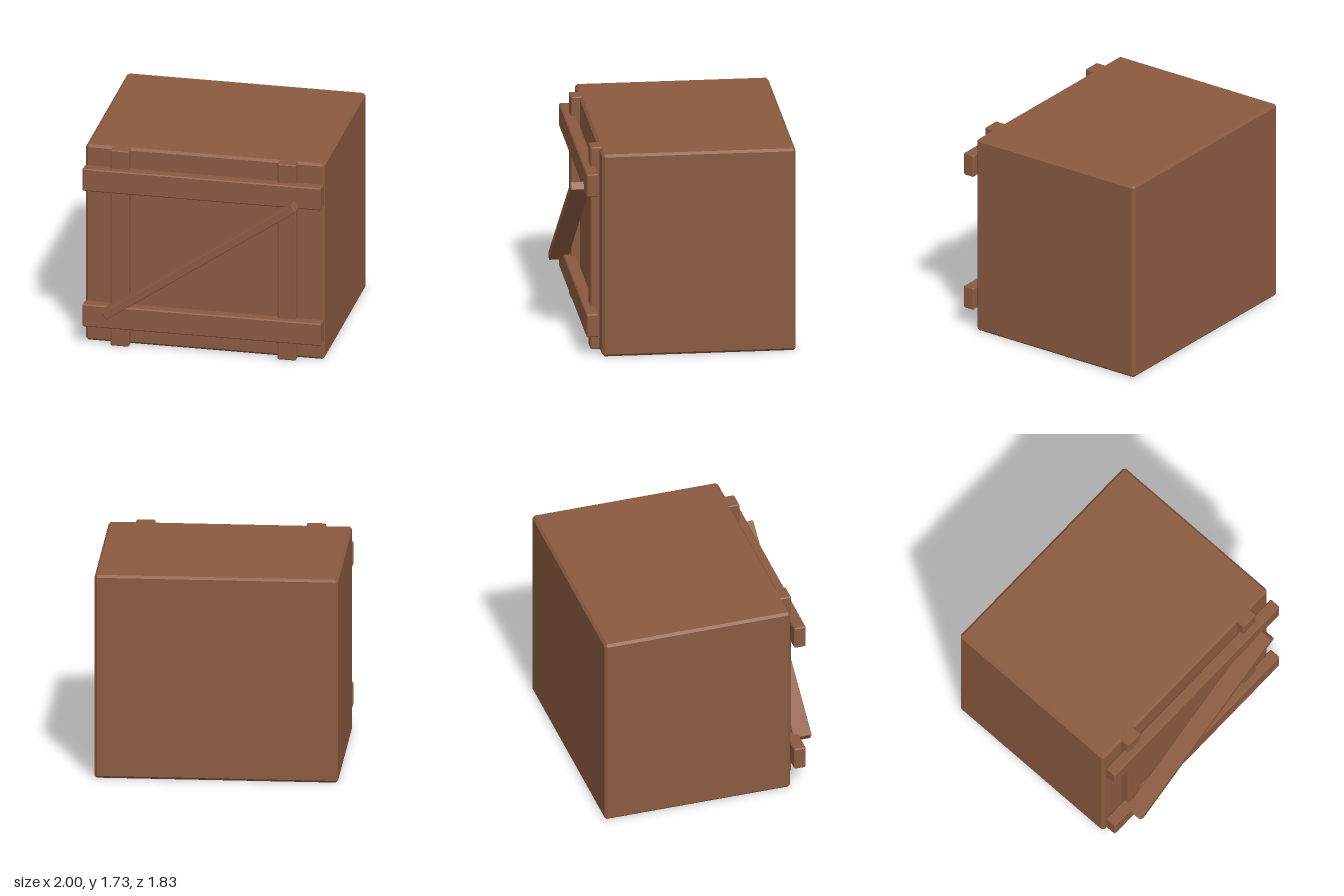
import * as THREE from 'three';
import { ConvexGeometry } from 'three/addons/geometries/ConvexGeometry.js';

// Box with flat bevels on every edge, centred on its origin
function bevelledBox(w, h, d, b) {
  const half = [w / 2, h / 2, d / 2];
  const points = [];
  for (const sx of [-1, 1]) for (const sy of [-1, 1]) for (const sz of [-1, 1]) {
    const s = [sx, sy, sz];
    for (let axis = 0; axis < 3; axis++) {
      points.push(new THREE.Vector3(...half.map((v, i) => s[i] * (i === axis ? v : v - b))));
    }
  }
  return new ConvexGeometry(points);
}

export function createModel() {
  const group = new THREE.Group();
  group.name = 'crate';
  const wood = new THREE.MeshStandardMaterial({ color: 0x8b5a40 });
  wood.name = 'brown wood';

  function add(name, size, bevel, position) {
    const mesh = new THREE.Mesh(bevelledBox(...size, bevel), wood);
    mesh.name = name;
    mesh.position.set(...position);
    group.add(mesh);
    return mesh;
  }

  // Main body
  add('body', [2, 1.73, 1.595], 0.02, [0, 0.865, -0.12]);

  // Upright planks and cross planks on the front
  for (const side of [-1, 1]) {
    const label = side > 0 ? 'left' : 'right';
    add(label + 'Upright', [0.154, 1.73, 0.1], 0.008, [side * 0.7, 0.865, 0.7]);
    add(side > 0 ? 'upperRail' : 'lowerRail', [2, 0.196, 0.1], 0.009, [0, 0.87 + side * 0.6, 0.757]);
  }

  // Diagonal brace
  const brace = add('diagonalBrace', [1.93, 0.07, 0.155], 0.005, [0, 0.868, 0.838]);
  brace.rotation.z = Math.atan2(1.09, 1.59);

  return group;
}
